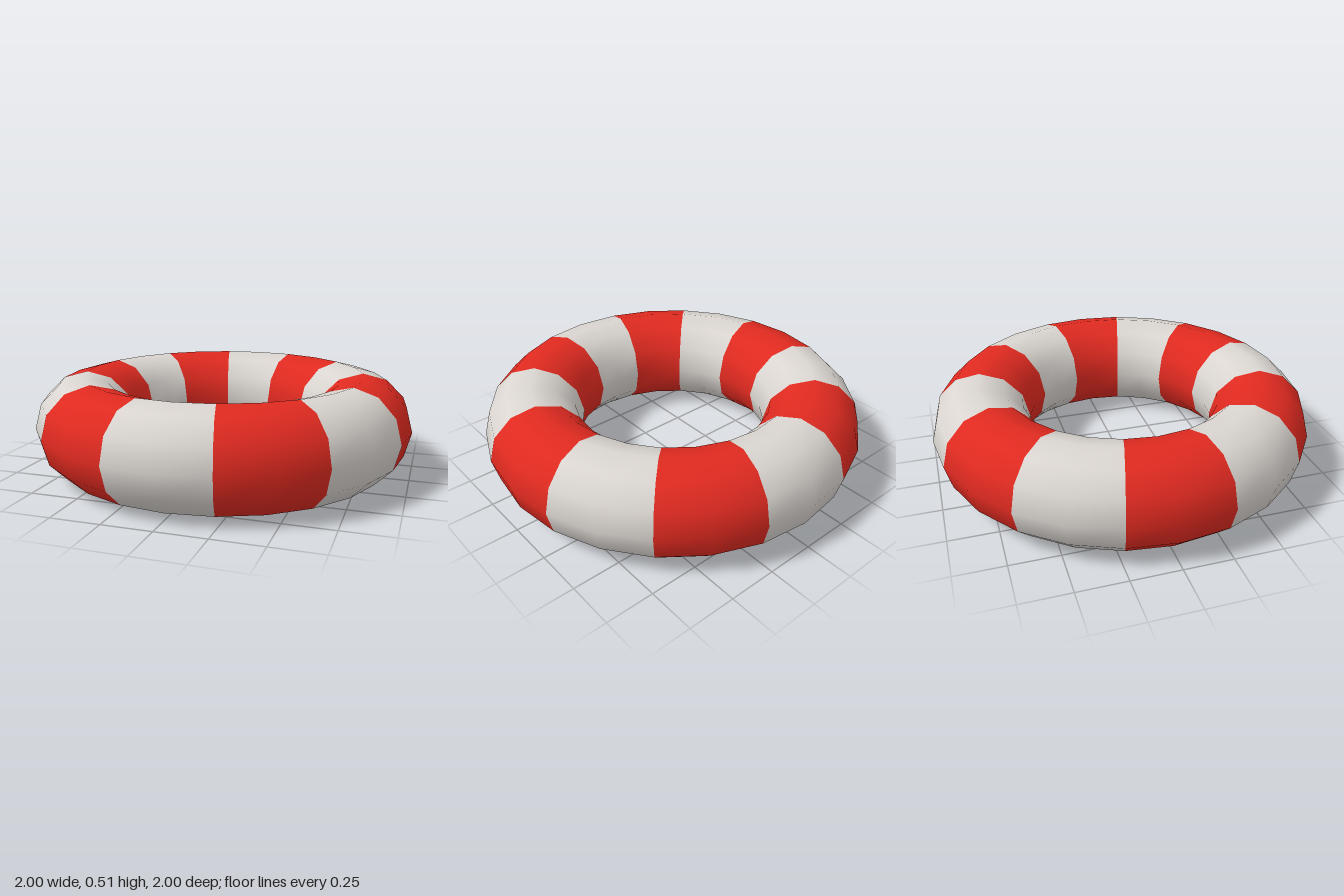
import * as THREE from 'three';

const RING = 0.745, TUBE = 0.255, STRIPES = 12;

export function createModel() {
  const model = new THREE.Group();
  model.name = 'lifebuoy';
  const red = new THREE.MeshStandardMaterial({ color: 0xe02a20 });
  const white = new THREE.MeshStandardMaterial({ color: 0xdad5d0 });

  // Ring of alternating stripes, the first one centred on +x
  const arc = (Math.PI * 2) / STRIPES;
  const stripe = new THREE.TorusGeometry(RING, TUBE, 12, 2, arc);
  stripe.rotateZ(-arc / 2).rotateX(-Math.PI / 2);

  for (let i = 0; i < STRIPES; i++) {
    const isRed = i % 2 === 0;
    const mesh = new THREE.Mesh(stripe, isRed ? red : white);
    mesh.name = isRed ? 'redStripe' : 'whiteStripe';
    mesh.rotation.y = i * arc;
    mesh.position.y = TUBE;
    model.add(mesh);
  }
  return model;
}
